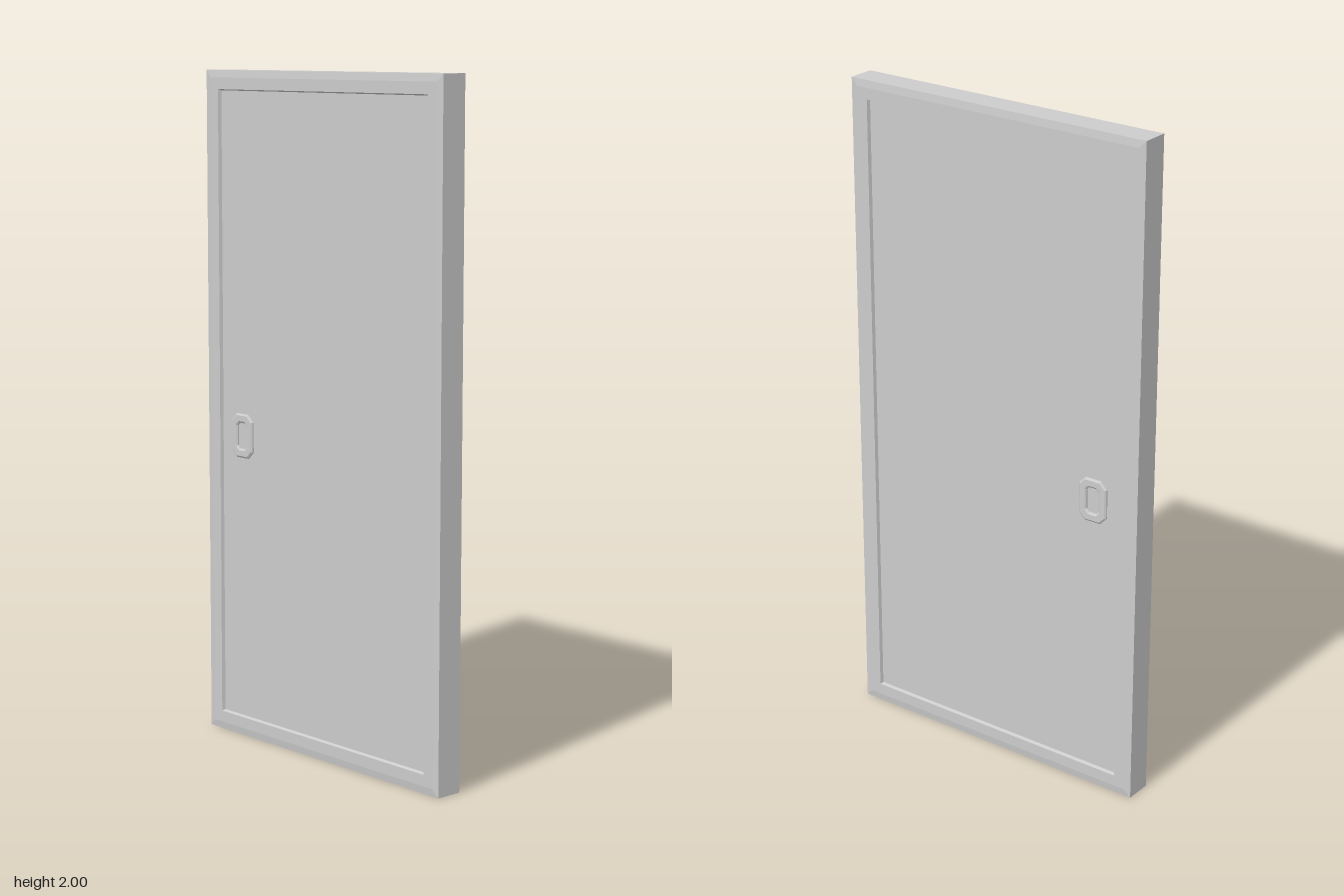
import * as THREE from 'three';

const grey = new THREE.MeshStandardMaterial({ color: 0xcccccc });

// Rectangular frame: a (inset, x) profile swept round a 1 x 2 outline with mitred corners
function frameGeometry(profile) {
  const corners = [[-1, 0], [-1, 1], [1, 1], [1, 0]];
  const point = ([inset, x], k) => {
    const [sz, top] = corners[k % 4];
    return [x, top ? 2 - inset : inset, sz * (0.5 - inset)];
  };
  const pos = [];
  for (let i = 0; i < profile.length - 1; i++) {
    for (let k = 0; k < 4; k++) {
      const a = point(profile[i], k), b = point(profile[i], k + 1);
      const c = point(profile[i + 1], k + 1), d = point(profile[i + 1], k);
      pos.push(...a, ...b, ...c, ...a, ...c, ...d);
    }
  }
  const g = new THREE.BufferGeometry();
  g.setAttribute('position', new THREE.Float32BufferAttribute(pos, 3));
  g.computeVertexNormals();
  return g;
}

// Rectangle with chamfered corners
function chamferedRect(w, h, c, Type) {
  const x = w / 2, y = h / 2;
  return new Type([
    [x, -y + c], [x, y - c], [x - c, y], [-x + c, y],
    [-x, y - c], [-x, -y + c], [-x + c, -y], [x - c, -y],
  ].map(([u, v]) => new THREE.Vector2(u, v)));
}

export function createModel() {
  const door = new THREE.Group();
  door.name = 'door';
  const add = (name, geometry) => {
    const mesh = new THREE.Mesh(geometry, grey);
    mesh.name = name;
    door.add(mesh);
    return mesh;
  };

  // Frame with slightly eased outer edges and a step down to the panel
  const half = [[0, 0.041], [0.022, 0.044], [0.056, 0.044], [0.06, 0.033]];
  const back = half.map(([i, x]) => [i, -x]).reverse();
  add('frame', frameGeometry([...back, ...half]));

  // Recessed door leaf
  add('panel', new THREE.BoxGeometry(0.068, 1.884, 0.884)).position.y = 1;

  // Low pull handle ring on each face
  const ring = chamferedRect(0.084, 0.122, 0.018, THREE.Shape);
  ring.holes.push(chamferedRect(0.052, 0.088, 0.012, THREE.Path));
  const ringGeometry = new THREE.ExtrudeGeometry(ring, {
    depth: 0.004, bevelEnabled: true, bevelThickness: 0.004, bevelSize: 0.005, bevelSegments: 1,
  });
  for (const side of [1, -1]) {
    const handle = add(side > 0 ? 'leftHandle' : 'rightHandle', ringGeometry);
    handle.rotation.y = side * Math.PI / 2;
    handle.position.set(side * 0.034, 0.92, -0.347);
  }
  return door;
}
